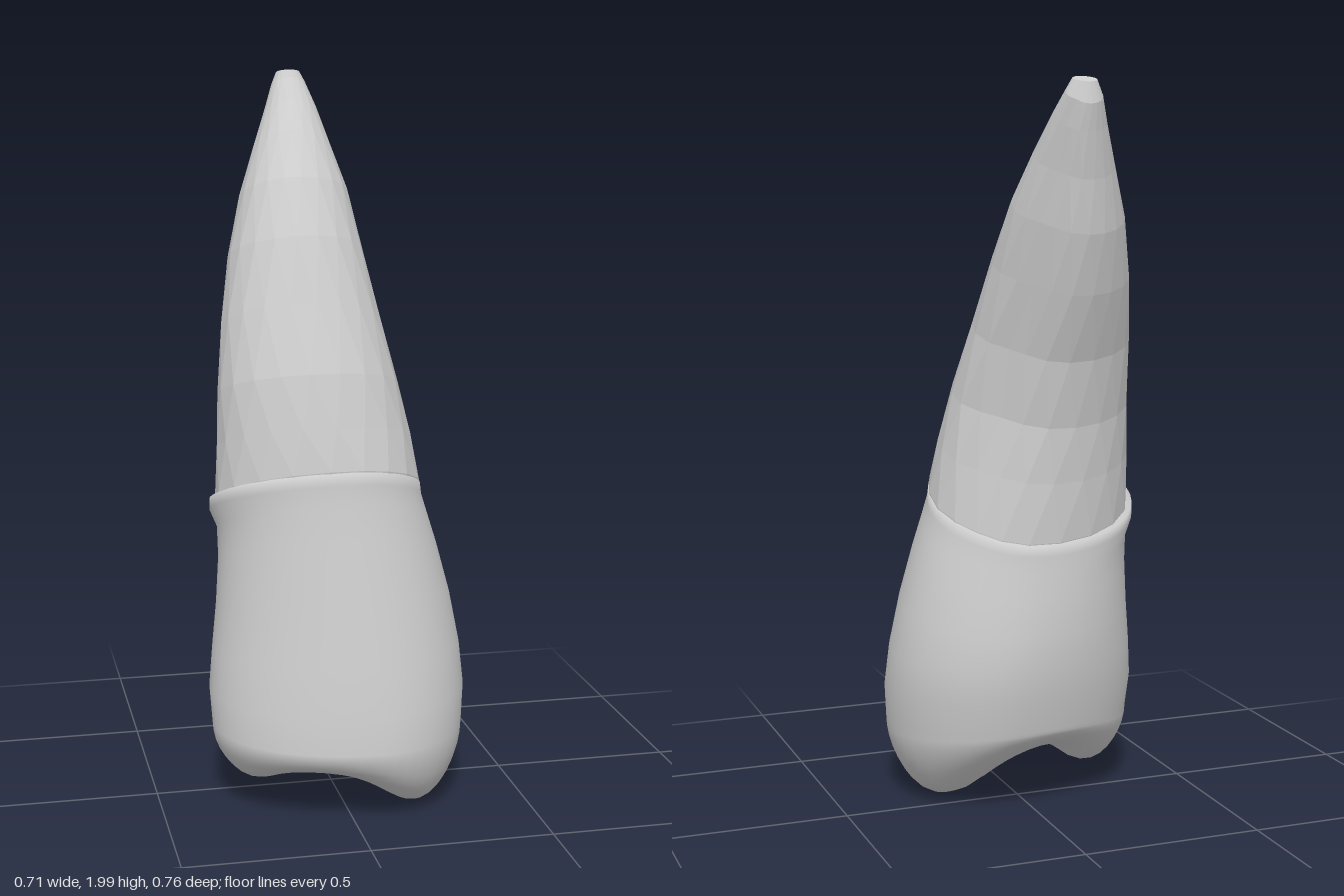
import * as THREE from 'three';

// One closed cross-section, tilted so it runs through a front and a back point.
// Section: [front y, front z, back y, back z, x min, x max, x of the middle]
function ring([yF, zF, yB, zB, x0, x1, xm], count, flatten, twist) {
  const points = [], zm = (zF + zB) / 2, rz = (zF - zB) / 2;
  for (let i = 0; i < count; i++) {
    const a = ((i + twist) / count) * Math.PI * 2;
    // the back left flank is pressed in a little
    const d = Math.atan2(Math.sin(a + 0.75), Math.cos(a + 0.75));
    const k = 1 - flatten * Math.exp(-((d / 0.45) ** 2));
    const c = Math.cos(a) * k, s = Math.sin(a) * k;
    points.push(new THREE.Vector3(
      xm + c * (c > 0 ? x1 - xm : xm - x0),
      (yF + yB) / 2 + (s * (yF - yB)) / 2,
      zm + s * rz));
  }
  return points;
}

// Skin over rings listed from bottom to top, closed at both ends
function loft(rings) {
  const n = rings[0].length, pos = [], index = [];
  rings.forEach(r => r.forEach(p => pos.push(p.x, p.y, p.z)));
  for (let r = 0; r < rings.length - 1; r++) {
    for (let i = 0; i < n; i++) {
      const j = (i + 1) % n;
      const a = r * n + i, b = r * n + j, c = a + n, d = b + n;
      index.push(a, c, b, b, c, d);
    }
  }
  const last = (rings.length - 1) * n;
  [0, last].forEach(start => {
    const mid = new THREE.Vector3();
    rings[start / n].forEach(p => mid.addScaledVector(p, 1 / n));
    const m = pos.length / 3;
    pos.push(mid.x, mid.y, mid.z);
    for (let i = 0; i < n; i++) {
      const a = start + i, b = start + ((i + 1) % n);
      if (start === 0) index.push(m, a, b);
      else index.push(m, b, a);
    }
  });
  const g = new THREE.BufferGeometry();
  g.setAttribute('position', new THREE.Float32BufferAttribute(pos, 3));
  g.setIndex(index);
  g.computeVertexNormals();
  return g;
}

// Height of the chewing surface: two cusps with a groove and a pit between
function biteHeight(x, z) {
  const bump = (cx, cz, wx, wz) => Math.exp(-(((x - cx) / wx) ** 2) - ((z - cz) / wz) ** 2);
  return 0.15 - 0.15 * bump(0.21, 0.15, 0.17, 0.3) - 0.085 * bump(-0.24, 0.06, 0.14, 0.17)
    + 0.04 * bump(-0.06, 0.06, 0.08, 0.12) + 0.3 * Math.max(0, -z);
}

function crownGeometry() {
  const sections = [
    [0.22, 0.38, 0.25, -0.2, -0.352, 0.345, 0.06],
    [0.32, 0.368, 0.34, -0.22, -0.357, 0.354, 0.06],
    [0.45, 0.342, 0.43, -0.23, -0.345, 0.346, 0.05],
    [0.62, 0.307, 0.52, -0.228, -0.33, 0.322, 0.03],
    [0.78, 0.274, 0.62, -0.217, -0.321, 0.287, 0.01],
    [0.88, 0.254, 0.69, -0.207, -0.323, 0.26, 0],
    [0.93, 0.248, 0.735, -0.202, -0.343, 0.245, 0],
    [0.963, 0.246, 0.763, -0.2, -0.343, 0.241, 0],
    [0.97, 0.21, 0.785, -0.16, -0.29, 0.2, 0],
  ];
  const walls = sections.map((s, i) => ring(s, 48, 0.006 * i, 0));

  // rounded rim curling in over the cusps
  const rim = walls[0];
  const steps = [0.06, 0.18, 0.3, 0.42, 0.53, 0.63, 0.72, 0.8, 0.86, 0.91, 0.95, 0.98, 0.995];
  const bite = steps.map(s => rim.map(p => {
    const x = p.x * s, z = 0.1 + (p.z - 0.1) * s;
    const drop = Math.sqrt(1 - s ** 6);
    return new THREE.Vector3(x, THREE.MathUtils.lerp(p.y, biteHeight(x, z), drop), z);
  }));
  return loft([...bite, ...walls]);
}

function rootGeometry() {
  const sections = [
    [0.9, 0.235, 0.72, -0.18, -0.31, 0.23, 0],
    [0.968, 0.245, 0.768, -0.196, -0.328, 0.241, 0],
    [1.08, 0.218, 0.93, -0.198, -0.32, 0.218, -0.03],
    [1.22, 0.18, 1.08, -0.203, -0.312, 0.187, -0.05],
    [1.4, 0.102, 1.26, -0.235, -0.292, 0.147, -0.06],
    [1.57, 0.027, 1.44, -0.298, -0.26, 0.115, -0.07],
    [1.72, -0.063, 1.6, -0.338, -0.217, 0.087, -0.07],
    [1.84, -0.168, 1.74, -0.352, -0.167, 0.05, -0.06],
    [1.92, -0.248, 1.86, -0.37, -0.125, 0.022, -0.05],
    [1.98, -0.308, 1.93, -0.38, -0.1, 0, -0.05],
    [2, -0.322, 1.985, -0.365, -0.085, -0.018, -0.05],
  ];
  // each ring turns half a step, giving even triangular facets
  return loft(sections.map((s, i) => ring(s, 20, Math.min(0.16, 0.05 * i), i / 2)));
}

export function createModel() {
  const tooth = new THREE.Group();
  tooth.name = 'tooth';

  const crown = new THREE.Mesh(crownGeometry(),
    new THREE.MeshStandardMaterial({ color: 0xcccccc }));
  crown.name = 'crown';

  const root = new THREE.Mesh(rootGeometry(),
    new THREE.MeshStandardMaterial({ color: 0xcccccc, flatShading: true }));
  root.name = 'root';

  tooth.add(crown, root);
  return tooth;
}
